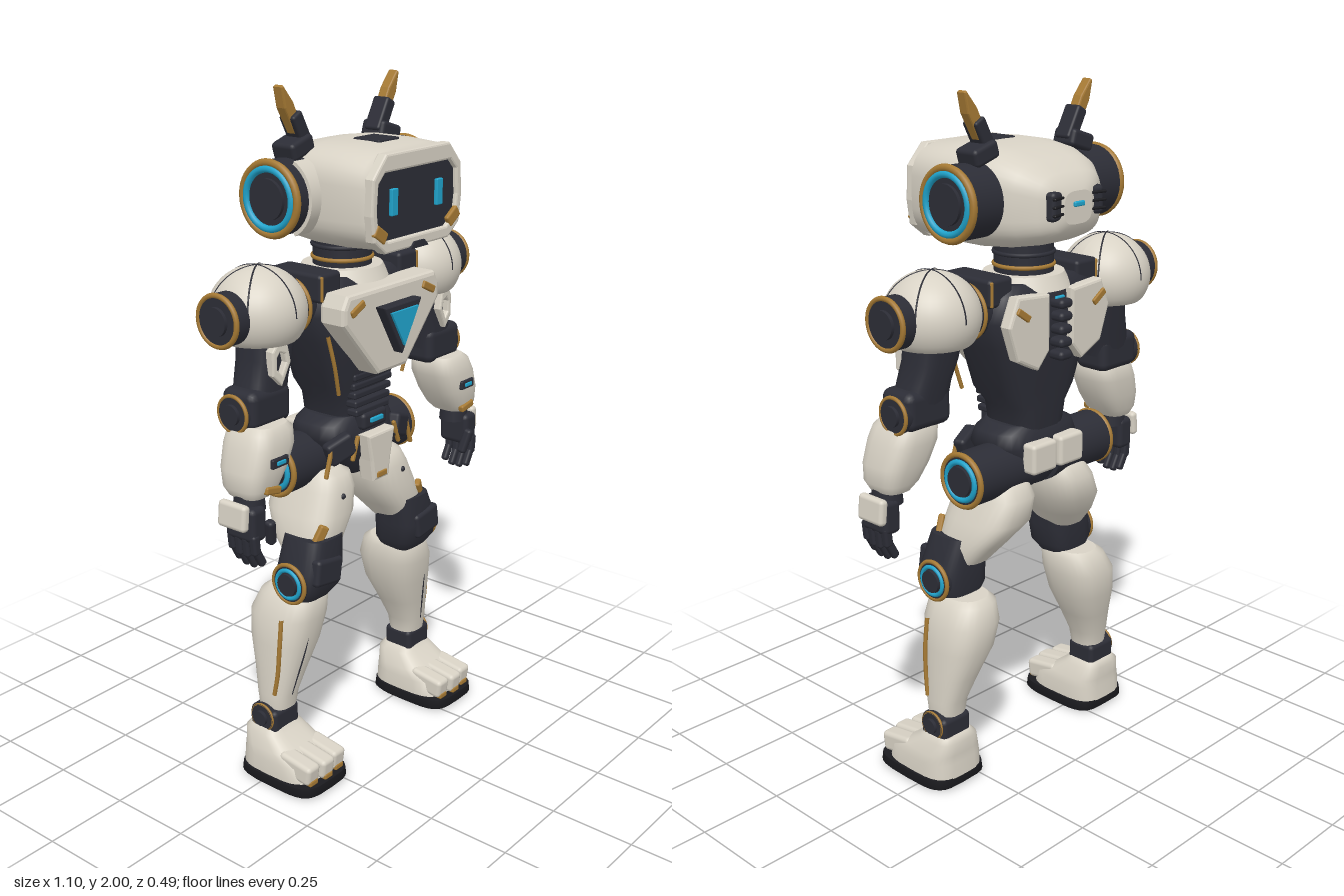
import * as THREE from 'three';
import { RoundedBoxGeometry } from 'three/addons/geometries/RoundedBoxGeometry.js';

const paint = (name, color) => Object.assign(new THREE.MeshStandardMaterial({ color }), { name });

// Stack of rounded-square sections [y, centreX, centreZ, halfX, halfZ], bottom to top
function loft(rows, e = 2.6, n = 28) {
  const pos = [], idx = [];
  const ring = ([y, cx, cz, rx, rz]) => {
    for (let j = 0; j < n; j++) {
      const a = (j / n) * Math.PI * 2, c = Math.cos(a), s = Math.sin(a);
      pos.push(cx + rx * Math.sign(c) * Math.abs(c) ** (2 / e), y, cz + rz * Math.sign(s) * Math.abs(s) ** (2 / e));
    }
  };
  rows.forEach(ring);
  for (let i = 0; i < rows.length - 1; i++) for (let j = 0; j < n; j++) {
    const a = i * n + j, b = i * n + (j + 1) % n;
    idx.push(a, a + n, b, b, a + n, b + n);
  }
  [rows[0], rows[rows.length - 1]].forEach((r, top) => {
    const s = pos.length / 3;
    ring(r);
    pos.push(r[1], r[0], r[2]);
    for (let j = 0; j < n; j++) {
      const a = s + j, b = s + (j + 1) % n;
      idx.push(s + n, top ? b : a, top ? a : b);
    }
  });
  const g = new THREE.BufferGeometry();
  g.setAttribute('position', new THREE.Float32BufferAttribute(pos, 3));
  g.setIndex(idx);
  g.computeVertexNormals();
  return g;
}

const box = (w, h, d, r = 0.012) => new RoundedBoxGeometry(w, h, d, 2, Math.min(r, w / 2.1, h / 2.1, d / 2.1));
const cylX = (r, len, n = 32) => new THREE.CylinderGeometry(r, r, len, n).rotateZ(Math.PI / 2);
const ringX = (r, t) => new THREE.TorusGeometry(r, t, 8, 40).rotateY(Math.PI / 2);
const rod = (pts, r) => new THREE.TubeGeometry(new THREE.CatmullRomCurve3(pts.map(p => new THREE.Vector3(...p))), 12, r, 6);

// Flat plate facing +z, with an optional hole
function plate(pts, depth, bevel = 0, hole) {
  const shape = new THREE.Shape(pts.map(p => new THREE.Vector2(...p)));
  if (hole) shape.holes.push(new THREE.Path(hole.map(p => new THREE.Vector2(...p))));
  return new THREE.ExtrudeGeometry(shape, {
    depth, bevelEnabled: bevel > 0, bevelSize: bevel, bevelThickness: bevel, bevelOffset: -bevel, bevelSegments: 2,
  });
}
// Symmetric outline from its right half, listed bottom to top
const sym = half => [...half, ...half.slice().reverse().map(([x, y]) => [-x, y])];

function mirrored(geo) {
  const g = (geo.index ? geo.toNonIndexed() : geo.clone()).applyMatrix4(new THREE.Matrix4().makeScale(-1, 1, 1));
  for (const { array, itemSize: s } of Object.values(g.attributes))
    for (let i = 0; i < array.length; i += 3 * s) for (let k = 0; k < s; k++)
      [array[i + k], array[i + 2 * s + k]] = [array[i + 2 * s + k], array[i + k]];
  return g;
}

export function createModel() {
  const robot = new THREE.Group();
  robot.name = 'robot';
  const white = paint('ivory armour', 0xd8d2c5), dark = paint('charcoal frame', 0x2c2d36);
  const gold = paint('bronze trim', 0xa67a34), blue = paint('cyan light', 0x20a4cc), black = paint('sole rubber', 0x1b1b1f);

  const add = (name, geo, mat, p = [0, 0, 0], r = [0, 0, 0]) => {
    geo.applyMatrix4(new THREE.Matrix4().makeRotationFromEuler(new THREE.Euler(...r)).setPosition(...p));
    const m = new THREE.Mesh(geo, mat);
    m.name = name;
    robot.add(m);
    return geo;
  };
  const pair = (name, geo, mat, p, r) => {
    const g = add(name + 'Left', geo, mat, p, r);
    add(name + 'Right', mirrored(g), mat);
  };
  // Round side joint whose outer face is at x
  const joint = (name, x, y, z, r, len, lit) => {
    pair(name + 'Hub', cylX(r * 0.95, len), dark, [x - len / 2, y, z]);
    pair(name + 'Rim', ringX(r * 0.9, r * 0.1), gold, [x - 0.004, y, z]);
    if (lit) pair(name + 'Light', ringX(r * 0.66, r * 0.1), blue, [x, y, z]);
    pair(name + 'Cap', cylX(r * 0.52, 0.012), dark, [x + 0.004, y, z]);
  };

  // Head shell, lofted from back to front
  const shell = [[-0.232, 0.055, 1.69, 0.045], [-0.222, 0.09, 1.69, 0.068], [-0.2, 0.128, 1.693, 0.09], [-0.15, 0.17, 1.698, 0.115],
    [-0.08, 0.2, 1.703, 0.133], [0, 0.213, 1.705, 0.142], [0.1, 0.216, 1.705, 0.142], [0.2, 0.21, 1.705, 0.136], [0.212, 0.195, 1.705, 0.124]];
  add('headShell', loft(shell.map(([z, w, y, h]) => [z, 0, -y, w, h]), 3.4, 40), white, [0, 0, 0], [Math.PI / 2, 0, 0]);
  const outer = sym([[0.14, 1.572], [0.19, 1.61], [0.2, 1.68], [0.195, 1.775], [0.14, 1.835]]);
  const opening = sym([[0.13, 1.605], [0.17, 1.635], [0.178, 1.69], [0.172, 1.76], [0.145, 1.787]]);
  add('faceFrame', plate(outer, 0.022, 0.006, opening), white, [0, 0, 0.208]);
  add('visor', plate(opening, 0.018), dark, [0, 0, 0.205]);
  pair('eye', box(0.027, 0.072, 0.012, 0.003), blue, [0.1, 1.705, 0.228]);
  pair('cheekTrim', box(0.055, 0.035, 0.016, 0.006), gold, [0.163, 1.628, 0.231], [0, 0, 0.6]);
  add('chinInset', plate(sym([[0.04, 1.57], [0.022, 1.588]]), 0.008), dark, [0, 0, 0.234]);
  add('crownPanel', box(0.09, 0.012, 0.09, 0.004), dark, [0, 1.845, 0.09]);
  pair('rearVent', box(0.055, 0.08, 0.035), dark, [0.078, 1.7, -0.214], [0, 0.25, 0]);
  for (let i = 0; i < 3; i++) pair('ventSlat', box(0.05, 0.008, 0.012), black, [0.08, 1.678 + i * 0.022, -0.232], [0, 0.25, 0]);
  add('rearLight', box(0.04, 0.014, 0.02, 0.004), blue, [0, 1.7, -0.23]);

  // Ear pods and antennae
  joint('ear', 0.298, 1.71, -0.035, 0.107, 0.11, false);
  pair('earLight', ringX(0.08, 0.01), blue, [0.298, 1.71, -0.035]);
  pair('earCuff', new THREE.CylinderGeometry(0.112, 0.112, 0.055, 24, 1, false, -1.1, 2.2).rotateZ(Math.PI / 2), white, [0.226, 1.71, -0.035]);
  pair('antennaMount', box(0.09, 0.05, 0.08), dark, [0.19, 1.835, -0.042], [0, 0, -0.3]);
  pair('antennaSocket', box(0.04, 0.1, 0.055, 0.008), dark, [0.18, 1.88, -0.04], [0, 0, -0.5]);
  pair('antenna', plate([[0.17, 1.885], [0.198, 1.87], [0.238, 1.94], [0.25, 1.995], [0.243, 2], [0.205, 1.955]], 0.024, 0.005), gold, [0, 0, -0.054]);

  // Neck and collar
  add('neck', new THREE.CylinderGeometry(0.085, 0.085, 0.14, 32), dark, [0, 1.51, -0.03]);
  for (const y of [1.51, 1.545]) add('neckRing', new THREE.TorusGeometry(0.085, 0.006, 8, 40).rotateX(Math.PI / 2), y < 1.53 ? gold : dark, [0, y, -0.03]);
  add('collar', new THREE.CylinderGeometry(0.115, 0.135, 0.04, 32), white, [0, 1.47, -0.03]);

  // Torso frame, chest armour and abdomen
  add('torsoFrame', loft([[1.02, 0, -0.035, 0.09, 0.09], [1.11, 0, -0.035, 0.1, 0.1], [1.16, 0, -0.03, 0.14, 0.11],
    [1.3, 0, -0.03, 0.185, 0.125], [1.38, 0, -0.03, 0.22, 0.13], [1.45, 0, -0.03, 0.2, 0.12], [1.475, 0, -0.03, 0.16, 0.09]], 3.5), dark);
  add('chestPlate', plate(sym([[0.065, 1.205], [0.215, 1.375], [0.215, 1.42], [0.195, 1.455]]), 0.065, 0.012), white, [0, 0, 0.078]);
  const triangle = k => [[0, 1.345 - 0.085 * k], [0.085 * k, 1.345 + 0.06 * k], [-0.085 * k, 1.345 + 0.06 * k]];
  add('chestLightFrame', plate(triangle(1), 0.025, 0.005), dark, [0, 0, 0.16]);
  add('chestLight', plate(triangle(0.72), 0.007), blue, [0, 0, 0.19]);
  pair('chestTrim', box(0.06, 0.022, 0.012, 0.005), gold, [0.16, 1.415, 0.156], [0, 0, -0.45]);
  pair('shoulderStrap', box(0.09, 0.08, 0.19), dark, [0.175, 1.465, -0.02]);
  pair('strapTrim', box(0.008, 0.07, 0.196, 0.003), gold, [0.212, 1.465, -0.02]);
  pair('flankTrim', rod([[0.19, 1.33, 0.075], [0.17, 1.24, 0.082], [0.145, 1.15, 0.076]], 0.006), gold);
  for (let i = 0; i < 5; i++) add('abdomenSlat', box(0.175 - Math.abs(i - 3) * 0.008, 0.02, 0.04, 0.006), dark, [0, 1.075 + i * 0.027, 0.065]);

  // Back plates and spine
  pair('backPlate', plate([[-0.045, 1.29], [-0.045, 1.45], [-0.17, 1.46], [-0.205, 1.38], [-0.17, 1.28], [-0.09, 1.24]], 0.025, 0.008), white, [0, 0, -0.142], [0, Math.PI, 0]);
  pair('backTrim', box(0.055, 0.02, 0.01, 0.004), gold, [0.155, 1.41, -0.178], [0, 0, 0.6]);
  for (let i = 0; i < 5; i++) add('vertebra', box(0.05, 0.027, 0.055), dark, [0, 1.27 + i * 0.037, -0.172]);
  add('spineLight', box(0.035, 0.015, 0.01, 0.004), blue, [0, 1.43, -0.168]);

  // Pelvis and belt
  add('pelvis', loft([[0.87, 0, -0.03, 0.05, 0.07], [0.94, 0, -0.03, 0.12, 0.11], [1.0, 0, -0.03, 0.16, 0.115], [1.04, 0, -0.03, 0.15, 0.1], [1.06, 0, -0.03, 0.11, 0.09]], 3), dark);
  add('beltBuckle', box(0.11, 0.05, 0.04), dark, [0, 1.045, 0.075]);
  add('beltLight', box(0.055, 0.014, 0.01, 0.003), blue, [0, 1.047, 0.097]);
  add('groinPlate', plate(sym([[0.035, 0.865], [0.045, 0.93], [0.062, 1.01]]), 0.04, 0.008), white, [0, 0, 0.07]);
  add('groinTrim', box(0.045, 0.018, 0.01, 0.004), gold, [0, 0.882, 0.117]);
  pair('hipGuard', box(0.09, 0.07, 0.04), dark, [0.135, 0.985, 0.07], [0, 0.3, -0.35]);
  pair('hipTrim', box(0.012, 0.075, 0.012, 0.004), gold, [0.095, 0.98, 0.095], [0, 0, 0.35]);
  pair('hipEdge', box(0.012, 0.09, 0.012, 0.004), gold, [0.185, 0.955, 0.072], [0, 0, 0.3]);
  pair('rearPouch', box(0.1, 0.09, 0.05), white, [0.056, 0.975, -0.148]);
  joint('hip', 0.28, 0.935, -0.055, 0.084, 0.24, true);

  // Thighs and knees
  pair('thighArmour', loft([[0.665, 0.205, 0.01, 0.055, 0.07], [0.72, 0.187, -0.005, 0.08, 0.1], [0.79, 0.147, -0.03, 0.095, 0.125],
    [0.86, 0.125, -0.035, 0.085, 0.122], [0.9, 0.12, -0.03, 0.07, 0.1], [0.915, 0.12, -0.03, 0.05, 0.07]], 2.8), white);
  pair('thighTrim', box(0.03, 0.07, 0.02, 0.007), gold, [0.235, 0.748, 0.078], [0, 0.4, 0.5]);
  pair('thighBolt', new THREE.SphereGeometry(0.009, 12, 8), dark, [0.14, 0.845, 0.086]);
  pair('kneeFrame', loft([[0.55, 0.235, 0.02, 0.06, 0.055], [0.59, 0.232, 0.03, 0.085, 0.075], [0.65, 0.228, 0.035, 0.085, 0.08], [0.74, 0.205, 0.03, 0.07, 0.075]], 3.2), dark);
  pair('kneeCap', box(0.11, 0.08, 0.04), dark, [0.235, 0.65, 0.1], [0, 0, 0.15]);
  joint('knee', 0.318, 0.615, 0.03, 0.064, 0.08, true);

  // Shins and ankles
  pair('shinArmour', loft([[0.215, 0.315, -0.02, 0.05, 0.05], [0.26, 0.313, -0.02, 0.055, 0.057], [0.335, 0.292, -0.023, 0.07, 0.075],
    [0.42, 0.268, -0.027, 0.09, 0.098], [0.5, 0.254, -0.025, 0.095, 0.11], [0.555, 0.24, -0.015, 0.08, 0.1], [0.57, 0.238, -0.012, 0.062, 0.08]], 2.5), white);
  pair('shinTrim', rod([[0.345, 0.51, 0.025], [0.355, 0.42, 0.025], [0.359, 0.335, 0.02], [0.363, 0.27, 0.01]], 0.007), gold);
  pair('shinSeam', rod([[0.27, 0.54, 0.078], [0.285, 0.42, 0.068], [0.315, 0.26, 0.035]], 0.003), dark);
  pair('ankle', box(0.11, 0.075, 0.1, 0.015), dark, [0.325, 0.18, -0.025]);
  joint('ankle', 0.383, 0.19, -0.025, 0.044, 0.04, false);

  // Feet
  pair('sole', loft([[0.0, 0.32, 0.045, 0.1, 0.135], [0.01, 0.32, 0.045, 0.109, 0.146], [0.036, 0.32, 0.045, 0.107, 0.143]], 4), black);
  pair('foot', loft([[0.034, 0.32, 0.03, 0.1, 0.13], [0.08, 0.32, 0.025, 0.098, 0.122], [0.105, 0.32, 0, 0.09, 0.095], [0.145, 0.322, -0.03, 0.075, 0.068], [0.16, 0.324, -0.03, 0.06, 0.055]], 3.5), white);
  for (let i = -1; i < 2; i++) {
    pair('toe', box(0.055, 0.062, 0.12, 0.014), white, [0.32 + i * 0.057, 0.077, 0.122 - Math.abs(i) * 0.008], [0.15, 0, 0]);
    pair('toeTrim', box(0.035, 0.018, 0.02, 0.005), gold, [0.32 + i * 0.057, 0.045, 0.172 - Math.abs(i) * 0.008]);
  }

  // Shoulder domes with radiating seams
  const dome = new THREE.SphereGeometry(0.135, 40, 28).scale(1, 0.93, 1);
  const dp = dome.attributes.position;
  for (let i = 0; i < dp.count; i++) dp.setY(i, Math.max(dp.getY(i), -0.075));
  dome.computeVertexNormals();
  pair('shoulderDome', dome, white, [0.355, 1.42, -0.03]);
  for (let k = 0; k < 3; k++)
    pair('shoulderSeam', new THREE.TorusGeometry(0.1345, 0.0025, 5, 36, Math.PI).scale(1, 0.93, 1).rotateY(k * Math.PI / 3 + 0.5), dark, [0.355, 1.42, -0.03]);
  joint('shoulder', 0.518, 1.425, -0.025, 0.076, 0.05, false);
  pair('shoulderAxle', cylX(0.075, 0.12), dark, [0.25, 1.41, -0.03]);
  pair('axleTrim', ringX(0.076, 0.006), gold, [0.228, 1.41, -0.03]);

  // Upper arms and elbows
  pair('upperArm', loft([[1.17, 0.385, -0.005, 0.075, 0.058], [1.24, 0.37, -0.01, 0.07, 0.062], [1.3, 0.35, -0.015, 0.072, 0.065], [1.4, 0.335, -0.02, 0.08, 0.07]], 3), dark);
  const hex = k => [[0, -0.063], [0.033, -0.03], [0.033, 0.035], [0.012, 0.063], [-0.022, 0.05], [-0.033, 0]].map(([x, y]) => [x * k, y * k]);
  pair('armPod', plate(hex(1), 0.03, 0.005, hex(0.5)), white, [0.368, 1.295, 0.035], [0, 0.1, 0]);
  pair('elbow', box(0.16, 0.11, 0.12, 0.025), dark, [0.395, 1.175, -0.005]);
  joint('elbow', 0.487, 1.165, -0.01, 0.056, 0.06, false);

  // Forearms
  pair('forearmArmour', loft([[0.945, 0.468, 0.03, 0.045, 0.055], [0.97, 0.462, 0.03, 0.065, 0.07], [1.02, 0.445, 0.028, 0.082, 0.08],
    [1.08, 0.422, 0.025, 0.085, 0.086], [1.12, 0.412, 0.022, 0.078, 0.08], [1.135, 0.41, 0.022, 0.06, 0.066]], 3), white);
  pair('forearmPanel', box(0.065, 0.028, 0.02, 0.005), dark, [0.434, 1.045, 0.107]);
  pair('forearmLight', box(0.034, 0.012, 0.01, 0.003), blue, [0.434, 1.045, 0.116]);
  pair('forearmTrim', box(0.06, 0.022, 0.02, 0.006), gold, [0.452, 0.966, 0.098], [0, 0, 0.2]);

  // Hands
  pair('wrist', new THREE.CylinderGeometry(0.04, 0.045, 0.06, 20), dark, [0.475, 0.935, 0.035]);
  pair('palm', box(0.06, 0.1, 0.105, 0.016), dark, [0.495, 0.875, 0.04]);
  pair('handGuard', box(0.028, 0.075, 0.1), white, [0.532, 0.9, 0.03], [0, 0, 0.1]);
  for (let i = 0; i < 4; i++) {
    const z = 0.002 + i * 0.027, drop = i === 0 || i === 3 ? 0.01 : 0;
    pair('fingerBase', box(0.027, 0.06, 0.023, 0.008), dark, [0.508, 0.81 + drop, z], [0, 0, -0.1]);
    pair('fingerTip', box(0.024, 0.058, 0.021, 0.008), dark, [0.492, 0.768 + drop, z], [0, 0, -0.5]);
  }
  pair('thumb', box(0.026, 0.08, 0.028, 0.01), dark, [0.458, 0.845, 0.095], [0.2, 0, -0.25]);

  return robot;
}
